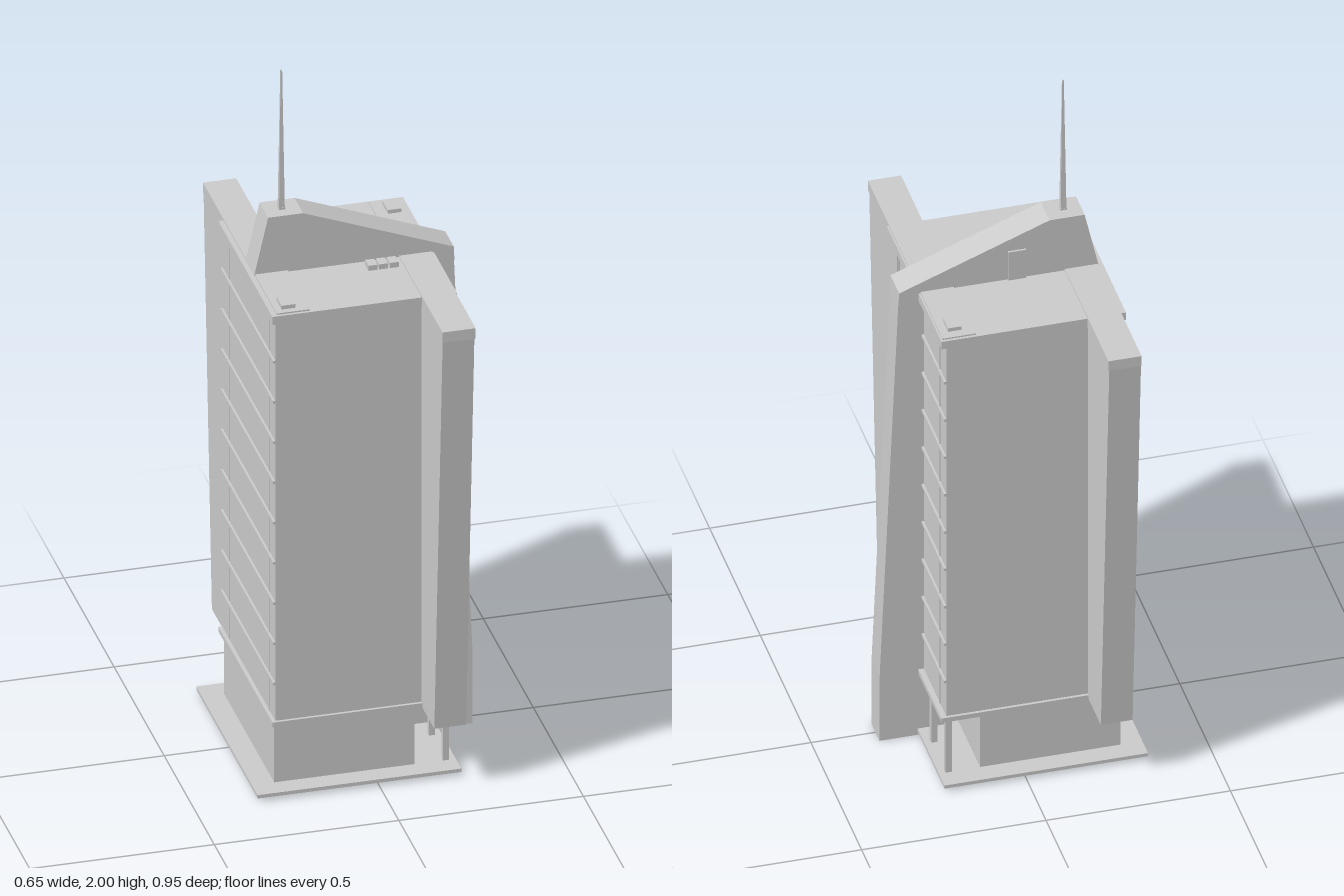
import * as THREE from 'three';

const material = new THREE.MeshStandardMaterial({ color: 0xcccccc, flatShading: true });

export function createModel() {
  const tower = new THREE.Group();
  tower.name = 'officeTower';

  const add = (name, geometry) => {
    const mesh = new THREE.Mesh(geometry, material);
    mesh.name = name;
    tower.add(mesh);
    return mesh;
  };

  // box given by its limits on each axis
  const box = (name, x0, x1, y0, y1, z0, z1) => {
    const g = new THREE.BoxGeometry(x1 - x0, y1 - y0, z1 - z0);
    g.translate((x0 + x1) / 2, (y0 + y1) / 2, (z0 + z1) / 2);
    return add(name, g);
  };

  // side profile in x and y, extruded from z0 to z1
  const slabFromProfile = (name, points, z0, z1) => {
    const shape = new THREE.Shape(points.map(([x, y]) => new THREE.Vector2(x, y)));
    const g = new THREE.ExtrudeGeometry(shape, { depth: z1 - z0, bevelEnabled: false });
    g.translate(0, 0, z0);
    return add(name, g);
  };

  // ground plate, recessed podium and corner columns
  box('groundPlate', -0.33, 0.222, 0.01, 0.02, -0.306, 0.306);
  box('podium', -0.27, 0.11, 0.02, 0.2, -0.25, 0.25);
  for (const z of [-0.243, -0.103, 0.103, 0.243]) {
    box('column', 0.187, 0.204, 0.02, 0.2, z - 0.008, z + 0.008);
  }

  // main block between its two edge slabs
  box('mainBlock', -0.27, 0.205, 0.2, 1.4, -0.262, 0.262);
  box('lowerSlab', -0.28, 0.22, 0.196, 0.21, -0.27, 0.27);
  box('roofSlab', -0.28, 0.22, 1.396, 1.42, -0.27, 0.27);

  // floor ledges along the two side walls
  for (let i = 1; i <= 9; i++) {
    const y = 0.2 + i * 0.12;
    box('floorLedge', -0.276, 0.211, y - 0.004, y + 0.004, -0.262, 0.262);
  }

  // leaning fins: front one on the +x side, back one on the -x side
  const leaningFin = (name, x0, x1, dir) => {
    const profile = [[0.2, 0.197], [0.39, 0.197], [0.473, 1.395], [0.2, 1.395]];
    const shape = new THREE.Shape(profile.map(([z, y]) => new THREE.Vector2(z, y)));
    const g = new THREE.ExtrudeGeometry(shape, { depth: x1 - x0, bevelEnabled: false });
    g.rotateY(-Math.PI / 2);
    g.translate(x1, 0, 0);
    if (dir < 0) {
      g.rotateY(Math.PI);
      g.translate(x0 + x1, 0, 0);
    }
    add(name, g);
    const ends = [dir * 0.475, -dir * 0.262].sort((a, b) => a - b);
    box(name + 'Cap', x0 - 0.001, x1 + 0.003, 1.393, 1.424, ends[0], ends[1]);
  };
  leaningFin('frontFin', 0.126, 0.212, 1);
  leaningFin('backFin', -0.265, -0.179, -1);

  // vertical wall strips beside the corner fins
  for (const [x, z] of [[0.204, 0.2], [0.204, -0.2], [-0.271, -0.2], [-0.271, 0.2]]) {
    box('wallStrip', x, x + 0.003, 0.21, 1.396, z - 0.003, z + 0.003);
  }

  // side fin rising from the ground to meet the roof crest
  slabFromProfile('sideFin', [
    [0.13, 0], [0.325, 0], [0.325, 0.2], [0.274, 1.395],
    [0.19, 1.395], [0.19, 0.215], [0.13, 0.215],
  ], -0.04, 0.04);

  // sloping crest across the roof
  slabFromProfile('roofCrest', [
    [-0.27, 1.41], [0.2, 1.41], [0.2, 1.39], [0.275, 1.39],
    [0.273, 1.43], [-0.135, 1.588], [-0.23, 1.588],
  ], -0.044, 0.042);
  box('crestDoor', -0.07, -0.022, 1.42, 1.51, -0.05, -0.044);

  // spire on a small square foot
  const spire = new THREE.CylinderGeometry(0.003, 0.011, 0.415, 4);
  spire.rotateY(Math.PI / 4);
  spire.translate(-0.183, 1.7925, 0);
  add('spire', spire);
  box('spireFoot', -0.192, -0.174, 1.585, 1.593, -0.009, 0.009);

  // roof plant
  for (const x of [0.04, 0.069, 0.098]) {
    box('roofVent', x - 0.012, x + 0.012, 1.42, 1.435, 0.06, 0.094);
  }
  box('roofUnit', 0.156, 0.193, 1.42, 1.435, -0.236, -0.185);
  box('roofUnit', -0.248, -0.211, 1.42, 1.435, 0.193, 0.244);

  return tower;
}
